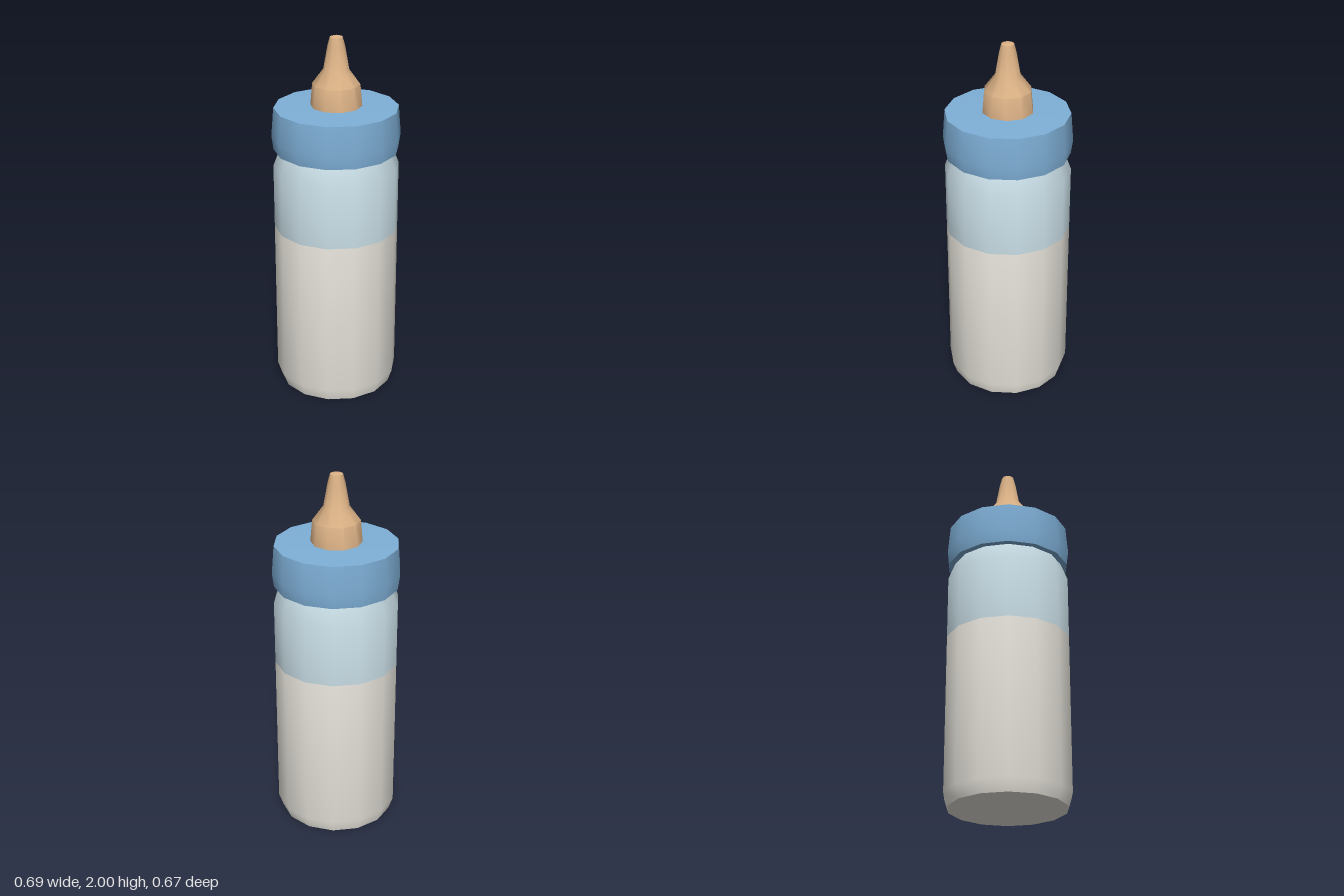
import * as THREE from 'three';
import { toCreasedNormals } from 'three/addons/utils/BufferGeometryUtils.js';

// Turned part: profile of [radius, height] from bottom to top, first corner on the x axis
function turned(name, color, sides, profile) {
  const points = profile.map(([r, y]) => new THREE.Vector2(r, y));
  const lathe = new THREE.LatheGeometry(points, sides, Math.PI / 2);
  const mesh = new THREE.Mesh(
    toCreasedNormals(lathe, THREE.MathUtils.degToRad(42)),
    new THREE.MeshStandardMaterial({ color })
  );
  mesh.name = name;
  return mesh;
}

export function createModel() {
  const bottle = new THREE.Group();
  bottle.name = 'babyBottle';

  // Filled lower part with a chamfered, closed base
  bottle.add(turned('milkBody', 0xeeebe2, 14, [
    [0, 0], [0.315, 0], [0.338, 0.07], [0.338, 0.94],
  ]));

  // Empty upper part, with a shoulder tapering into the ring
  bottle.add(turned('upperBody', 0xc8dde5, 14, [
    [0.338, 0.94], [0.338, 1.29], [0.3, 1.39], [0, 1.39],
  ]));

  // Screw ring with a slightly bulging wall and domed top
  bottle.add(turned('screwRing', 0x7fb0d8, 14, [
    [0, 1.385], [0.335, 1.385], [0.345, 1.46], [0.332, 1.615], [0, 1.628],
  ]));

  // Rubber teat
  bottle.add(turned('teat', 0xdcb286, 10, [
    [0.138, 1.615], [0.127, 1.74], [0.068, 1.82],
    [0.047, 1.94], [0.034, 1.99], [0, 2],
  ]));

  return bottle;
}
